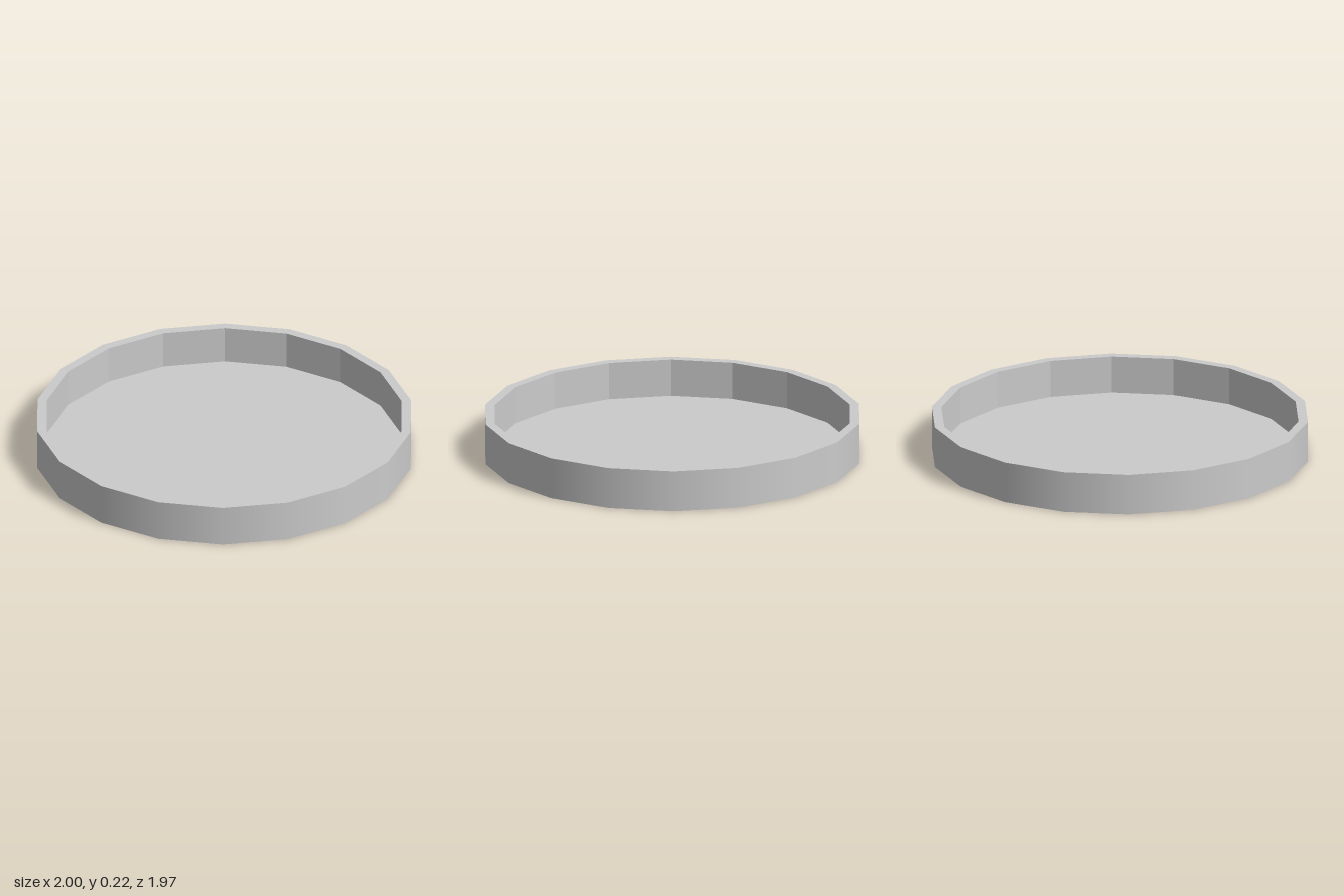
import * as THREE from 'three';

const SIDES = 18;
const OUTER = 1, INNER = 0.95, HEIGHT = 0.22, FLOOR = 0.02;

// Revolve a short profile of [radius, y] pairs, with a corner on the x axis.
function turned(name, profile, flatShading) {
  const points = profile.map(([r, y]) => new THREE.Vector2(r, y));
  const geometry = new THREE.LatheGeometry(points, SIDES, Math.PI / 2);
  const material = new THREE.MeshStandardMaterial({ color: 0xcccccc, flatShading });
  const mesh = new THREE.Mesh(geometry, material);
  mesh.name = name;
  return mesh;
}

export function createModel() {
  const tray = new THREE.Group();
  tray.name = 'roundTray';
  tray.add(
    // Flat underside
    turned('base', [[0, 0], [OUTER, 0]], true),
    // Smoothly shaded outside wall
    turned('outerWall', [[OUTER, 0], [OUTER, HEIGHT]], false),
    // Flat ring on top of the wall
    turned('rim', [[OUTER, HEIGHT], [INNER, HEIGHT]], true),
    // Faceted inside wall
    turned('innerWall', [[INNER, HEIGHT], [INNER, FLOOR]], true),
    // Recessed floor
    turned('floor', [[INNER, FLOOR], [0, FLOOR]], true),
  );
  return tray;
}
